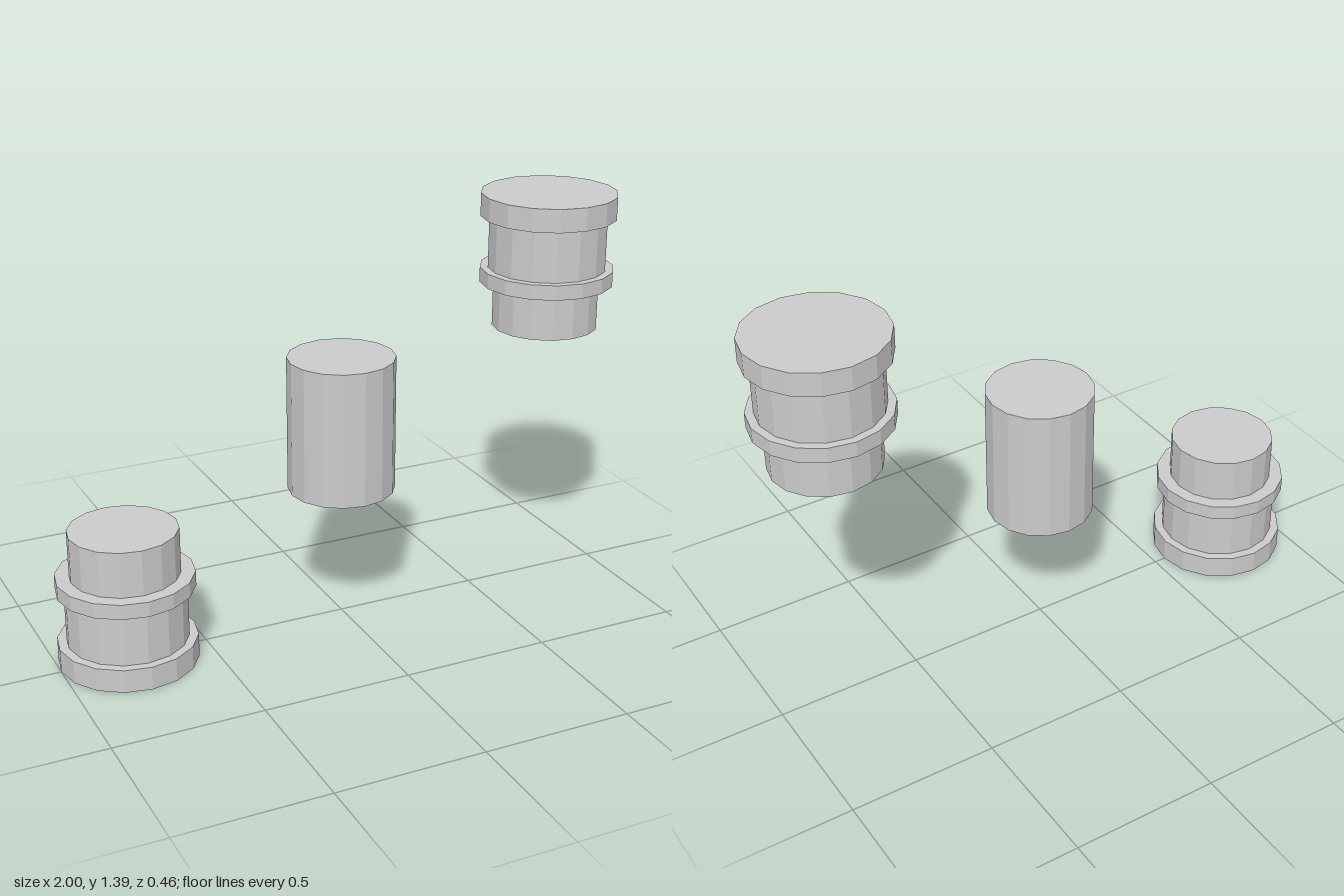
import * as THREE from 'three';

const SIDES = 16;
const SECTION = 0.463; // height of each column section

export function createModel() {
  const group = new THREE.Group();
  group.name = 'columnSections';
  const material = new THREE.MeshStandardMaterial({ color: 0xcccccc, flatShading: true });

  // Stacked drums given as [name, radius, bottom, top]; flipped sections mirror in height
  function addSection(name, x, y, drums, flipped = false) {
    const section = new THREE.Group();
    section.name = name;
    section.position.set(x, y, 0);
    for (const [part, radius, bottom, top] of drums) {
      const mesh = new THREE.Mesh(
        new THREE.CylinderGeometry(radius, radius, top - bottom, SIDES), material);
      const middle = (bottom + top) / 2;
      mesh.name = part;
      mesh.position.y = flipped ? SECTION - middle : middle;
      section.add(mesh);
    }
    group.add(section);
  }

  // Column end: wide plate, drum, ring and the start of the shaft
  const end = [
    ['plate', 0.23, 0, 0.079],
    ['drum', 0.2, 0.079, 0.257],
    ['ring', 0.227, 0.257, 0.308],
    ['neck', 0.18, 0.308, SECTION],
  ];

  addSection('base', -0.77, 0, end);
  addSection('middle', 0, SECTION, [['shaft', 0.18, 0, SECTION]]);
  addSection('capital', 0.77, SECTION * 2, end, true);

  return group;
}
